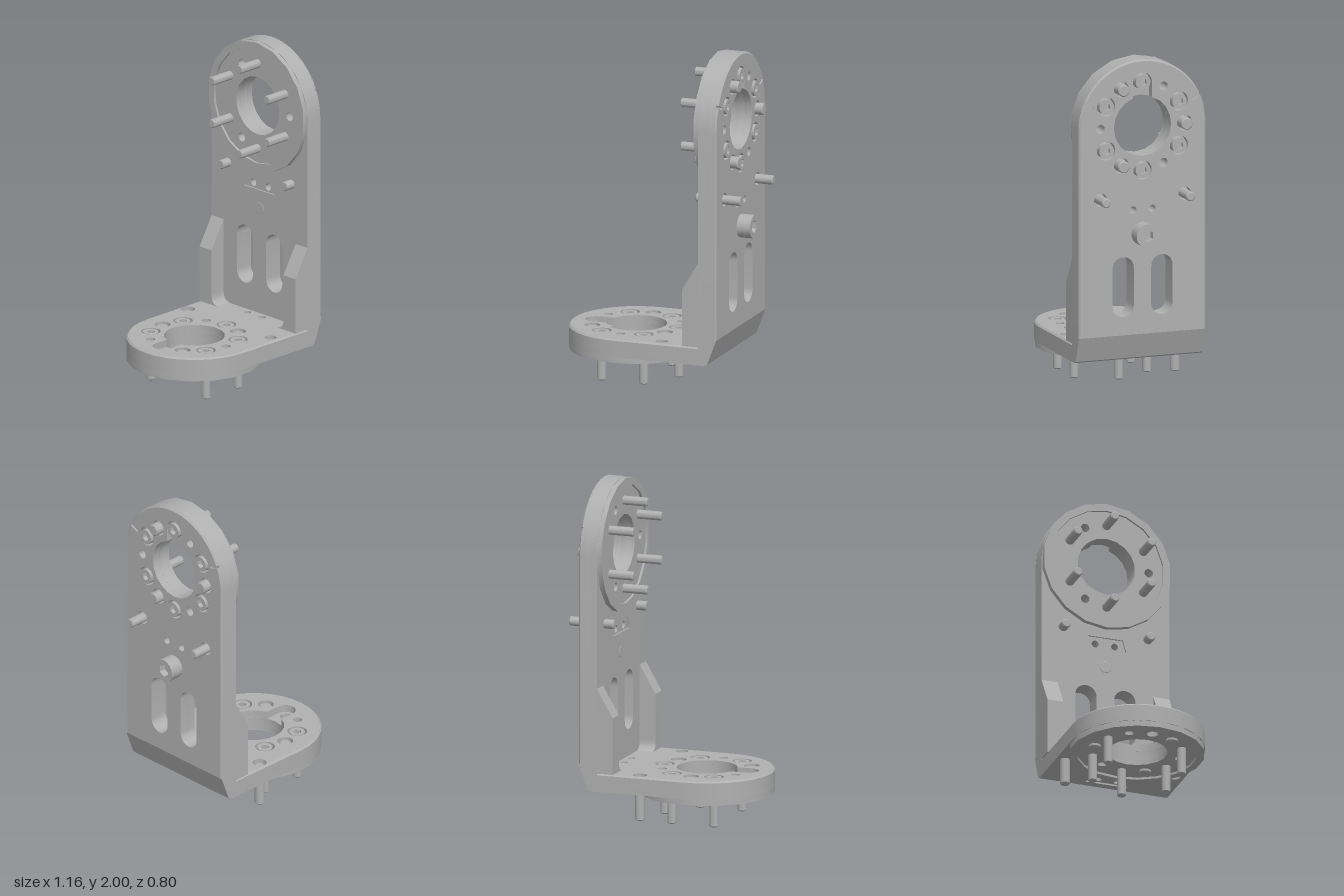
import * as THREE from 'three';
import { toCreasedNormals, mergeGeometries } from 'three/addons/utils/BufferGeometryUtils.js';

const steel = new THREE.MeshStandardMaterial({ color: 0xb0b0b0 });
steel.name = 'grey metal';

const R = 0.4, BORE = 0.18, PITCH = 0.265, FRONT = 0.145;
const polar = (deg, r = PITCH) => [r * Math.cos(deg * Math.PI / 180), r * Math.sin(deg * Math.PI / 180)];

function add(parent, name, geometry) {
  const mesh = new THREE.Mesh(toCreasedNormals(geometry, 0.5), steel);
  mesh.name = name;
  parent.add(mesh);
  return mesh;
}

function circle(u, v, r, Type = THREE.Path) {
  return new Type().absarc(u, v, r, 0, Math.PI * 2, false);
}

// Plate layer between two heights, with cut-outs
function layer(shape, holes, from, to, steps = 1) {
  shape.holes.push(...holes);
  const g = new THREE.ExtrudeGeometry(shape, { depth: to - from, steps, bevelEnabled: false, curveSegments: 9 });
  return g.translate(0, 0, from);
}

// Round-ended plate outline, optionally with two narrow edge notches
function outline(end, notched) {
  const s = new THREE.Shape();
  s.moveTo(end, -R);
  s.lineTo(0, -R);
  if (notched) {
    const a = 66 * Math.PI / 180, half = 0.02;
    const notch = (mid) => {
      s.lineTo(0.335 * Math.cos(mid - half), 0.335 * Math.sin(mid - half));
      s.lineTo(0.335 * Math.cos(mid + half), 0.335 * Math.sin(mid + half));
    };
    s.absarc(0, 0, R, -Math.PI / 2, -a - half, false);
    notch(-a);
    s.absarc(0, 0, R, -a + half, a - half, false);
    notch(a);
    s.absarc(0, 0, R, a + half, Math.PI / 2, false);
  } else s.absarc(0, 0, R, -Math.PI / 2, Math.PI / 2, false);
  s.lineTo(end, R);
  s.closePath();
  return s;
}

// Central bore joined to a round-ended shallow slot
function boreWithSlot() {
  const w = 0.06, a = Math.asin(w / BORE);
  const p = new THREE.Path();
  p.absarc(0, 0, BORE, a, Math.PI * 2 - a, false);
  p.absarc(0.262, 0, w, -Math.PI / 2, Math.PI / 2, false);
  p.closePath();
  return p;
}

function longSlot(v) {
  const p = new THREE.Path(), r = 0.067;
  p.absarc(-0.847, v, r, -Math.PI / 2, Math.PI / 2, false);
  p.absarc(-1.073, v, r, Math.PI / 2, Math.PI * 1.5, false);
  p.closePath();
  return p;
}

// Shallow locating pocket around the two small holes
function pocket() {
  return new THREE.Path([[-0.455, -0.11], [-0.455, 0.11], [-0.532, 0.13], [-0.532, -0.13]]
    .map(([u, v]) => new THREE.Vector2(u, v)));
}

// Narrow chamfer along the outer edge of the front layer
function chamfer(g, from, to) {
  const c = 0.01, p = g.attributes.position;
  for (let i = 0; i < p.count; i++) {
    const u = p.getX(i), v = p.getY(i), w = p.getZ(i);
    if (Math.abs(w - (from + to) / 2) < 1e-4) p.setZ(i, to - c);
    else if (w > to - 1e-4) {
      const r = Math.hypot(u, v);
      if (u > 0.001 && r > R - 0.003) p.setXY(i, u * (R - c) / r, v * (R - c) / r);
      else if (Math.abs(v) > R - 0.003) p.setY(i, Math.sign(v) * (R - c));
    }
  }
  return g;
}

function pin(parent, name, u, v, r, from, to) {
  const c = 0.006, profile = [[0, from], [r - c, from], [r, from + c], [r, to - c], [r - c, to], [0, to]];
  const g = new THREE.LatheGeometry(profile.map(([x, y]) => new THREE.Vector2(x, y)), 20);
  return add(parent, name, g.rotateX(Math.PI / 2).translate(u, v, 0));
}

// Cap screw with a hexagonal socket
function capScrew(parent, name, u, v, r, tip, seat, top) {
  const screw = new THREE.Group();
  screw.name = name;
  screw.position.set(u, v, 0);
  parent.add(screw);
  const hex = new THREE.Path([0, 1, 2, 3, 4, 5].map((k) => new THREE.Vector2(...polar(k * 60, r * 0.55))));
  const floor = top - r * 0.6;
  add(screw, 'socketHead', layer(circle(0, 0, r, THREE.Shape), [hex], floor, top));
  add(screw, 'headBase', layer(circle(0, 0, r, THREE.Shape), [], seat, floor));
  pin(screw, 'shank', 0, 0, r * 0.58, tip, seat + 0.005);
}

// One mounting plate: round boss at the back, screw circle at the front
function mountPlate(name, o) {
  const plate = new THREE.Group();
  plate.name = name;
  const small = [90, 210, 330].map((d) => [...polar(d), 0.027]);
  const pair = [[-0.5, 0.061, 0.022], [-0.5, -0.061, 0.022]];
  const cut = (list) => list.map(([u, v, r]) => circle(u, v, r));
  const bossHoles = [...small, ...o.bossHoles];
  const through = [...bossHoles, ...o.through];
  const slots = o.slots.map(longSlot);
  const bore = () => circle(0, 0, BORE);

  // Boss with raised rim
  add(plate, 'bossRim', layer(circle(0, 0, R, THREE.Shape), [circle(0, 0, 0.355)], 0, o.boss));
  add(plate, 'bossFace', layer(circle(0, 0, 0.357, THREE.Shape), [bore(), ...cut(bossHoles)], 0.014, o.boss));

  // Plate body
  add(plate, 'backLayer', layer(outline(o.end), [bore(), pocket(), ...cut([...through]), ...slots], o.boss, o.boss + 0.01));
  add(plate, 'coreLayer', layer(outline(o.end), [bore(), ...cut([...through, ...pair]), ...slots], o.boss + 0.01, 0.1));

  // Front layers with counterbores
  const bores = [60, 120, 180, 240, 300].map((d) => [...polar(d), 0.058])
    .concat([30, 150, 270].map((d) => [...polar(d), 0.047]), small, pair, o.through, o.counterbores);
  add(plate, 'counterboreLayer', layer(outline(o.end), [boreWithSlot(), ...cut(bores), ...slots], 0.1, 0.13));
  add(plate, 'frontLayer', chamfer(
    layer(outline(o.end, o.notched), [boreWithSlot(), ...cut(bores), ...slots], 0.13, FRONT, 2), 0.13, FRONT));

  // Screws and bushings
  for (const d of o.screws) capScrew(plate, 'capScrew', ...polar(d), 0.046, o.tip, 0.098, o.headTop);
  for (const d of [30, 150, 270]) pin(plate, 'bushing', ...polar(d), 0.036, o.bushing[0], o.bushing[1]);
  return plate;
}

function orient(group, u, v, w, x, y, z) {
  group.applyMatrix4(new THREE.Matrix4().makeBasis(u, v, w).setPosition(x, y, z));
}

export function createModel() {
  const model = new THREE.Group();
  model.name = 'angleBracket';
  const X = new THREE.Vector3(1, 0, 0), Y = new THREE.Vector3(0, 1, 0), Z = new THREE.Vector3(0, 0, 1);

  // Upright plate
  const upright = mountPlate('uprightPlate', {
    end: -1.25, boss: 0.03, notched: true, slots: [-0.122, 0.122],
    bossHoles: [], through: [], counterbores: [[-0.425, 0.265, 0.04], [-0.425, -0.265, 0.04]],
    screws: [0, 60, 120, 180, 240, 300], tip: -0.14, headTop: 0.155, bushing: [0.02, 0.19],
  });
  for (const v of [-0.265, 0.265]) pin(upright, 'dowel', -0.425, v, 0.028, -0.03, 0.25);
  capScrew(upright, 'largeCapScrew', -0.645, 0, 0.07, 0.028, 0.14, 0.23);
  orient(upright, Y, Z, X, 0.33, 1.6, 0);
  model.add(upright);

  // Base plate
  const base = mountPlate('basePlate', {
    end: -0.54, boss: 0.035, notched: false, slots: [],
    bossHoles: [[PITCH, 0, 0.035]], through: [[-0.29, 0.343, 0.036]], counterbores: [[-0.29, -0.345, 0.042]],
    screws: [60, 120, 180, 240, 300], tip: -0.155, headTop: 0.142, bushing: [-0.005, 0.135],
  });
  pin(base, 'dowel', -0.29, -0.345, 0.029, -0.125, 0.13);
  orient(base, X.clone().negate(), Z, Y, -0.18, 0.155, 0);
  model.add(base);

  // Bevelled corner block joining the plates
  const side = (pts) => new THREE.Shape(pts.map(([x, y]) => new THREE.Vector2(x, y)));
  const corner = side([[0.36, 0.19], [0.4, 0.19], [0.418, 0.2], [0.475, 0.35], [0.36, 0.35]]);
  add(model, 'cornerBlock', layer(corner, [], -R, R));

  // Side gussets with a rounded inner foot
  for (const s of [-1, 1]) {
    const rib = layer(side([[0.26, 0.3], [0.36, 0.3], [0.36, 0.81], [0.26, 0.64]]), [], s > 0 ? 0.3 : -R, s > 0 ? R : -0.3);
    const foot = new THREE.Shape();
    foot.moveTo(-0.3 * s, 0.3);
    foot.lineTo(-0.3 * s, 0.36);
    foot.quadraticCurveTo(-0.3 * s, 0.3, -0.24 * s, 0.3);
    foot.closePath();
    const fillet = layer(foot, [], 0.26, 0.36).rotateY(Math.PI / 2);
    add(model, s > 0 ? 'leftGusset' : 'rightGusset', mergeGeometries([rib, fillet]));
  }
  return model;
}
